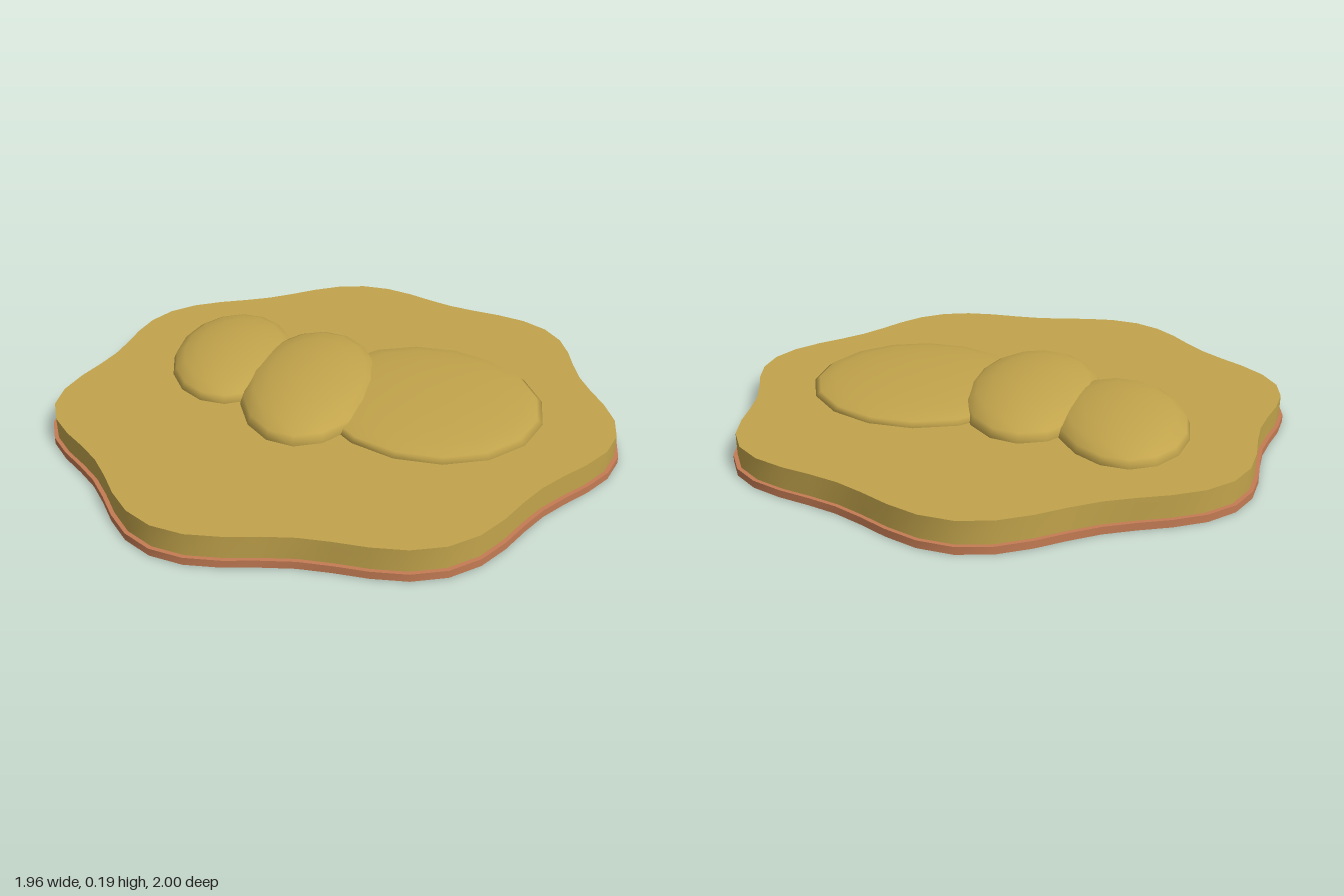
import * as THREE from 'three';
import { toCreasedNormals } from 'three/addons/utils/BufferGeometryUtils.js';

// Seven-lobed slab: a disc whose radius follows a cosine wave
function wavySlab(grow, bottom, top) {
  const geometry = new THREE.CylinderGeometry(1, 1, top - bottom, 56, 1);
  const p = geometry.attributes.position;
  for (let i = 0; i < p.count; i++) {
    const x = p.getX(i), z = p.getZ(i);
    const r = 0.972 + 0.045 * Math.cos(7 * Math.atan2(z, x)) + grow;
    p.setX(i, x * r - 0.035);
    p.setZ(i, z * r);
  }
  geometry.translate(0, (top + bottom) / 2, 0);
  return toCreasedNormals(geometry, 0.7);
}

export function createModel() {
  const gold = new THREE.MeshStandardMaterial({ color: 0xc2a44c });
  gold.name = 'gold';
  const copper = new THREE.MeshStandardMaterial({ color: 0xc47c54 });
  copper.name = 'copper';

  const model = new THREE.Group();
  model.name = 'lobedPlaque';
  const add = (name, geometry, material) => {
    const mesh = new THREE.Mesh(geometry, material);
    mesh.name = name;
    model.add(mesh);
    return mesh;
  };

  // Thin rim underneath, slightly wider than the main slab
  add('baseRim', wavySlab(0, 0, 0.025), copper);
  add('slab', wavySlab(-0.014, 0.025, 0.1), gold);

  // Raised flattened domes: x, z, half length, height, half width, turn in degrees
  const dome = new THREE.SphereGeometry(1, 16, 5, 0, Math.PI * 2, 0, Math.PI / 2);
  const mounds = [
    ['backMound', -0.228, -0.437, 0.378, 0.076, 0.233, 58],
    ['middleMound', -0.095, -0.077, 0.437, 0.087, 0.25, 52],
    ['frontMound', 0.203, 0.24, 0.441, 0.046, 0.4, 81],
  ];
  for (const [name, x, z, length, height, width, turn] of mounds) {
    const mound = add(name, dome, gold);
    mound.position.set(x, 0.1, z);
    mound.scale.set(length, height, width);
    mound.rotation.y = THREE.MathUtils.degToRad(turn);
  }
  return model;
}
